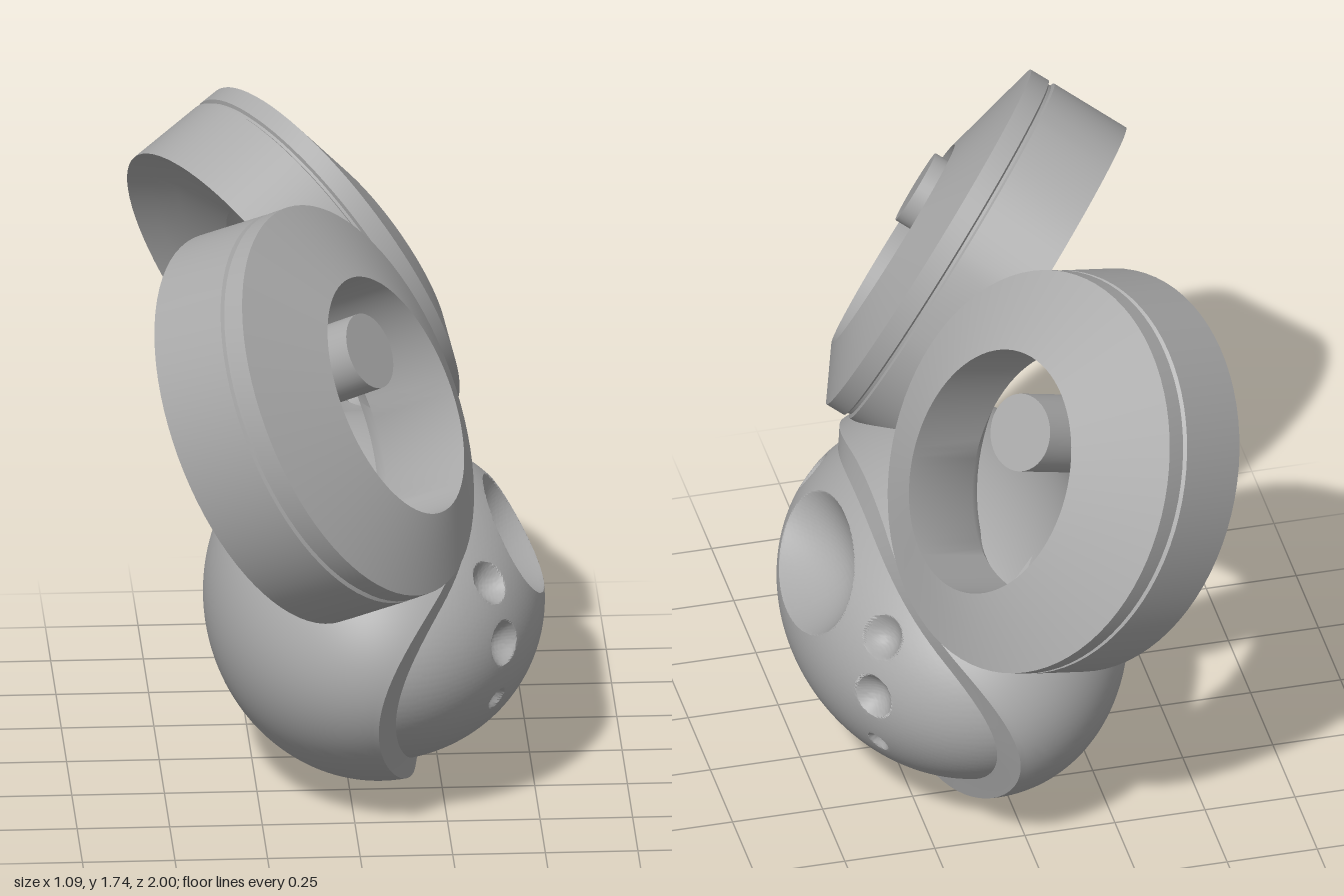
import * as THREE from 'three';
import { toCreasedNormals } from 'three/addons/utils/BufferGeometryUtils.js';

const V = (x, y, z) => new THREE.Vector3(x, y, z);
const grey = new THREE.MeshStandardMaterial({ color: 0xaaaaaa });
grey.name = 'grey';
const greyThin = grey.clone();
greyThin.side = THREE.DoubleSide;

// Skin a list of closed loops of points
function loft(loops, flip = false, crease = 0.5) {
  const n = loops[0].length, pos = [], idx = [];
  for (const loop of loops) for (const p of loop) pos.push(p.x, p.y, p.z);
  for (let i = 0; i < loops.length - 1; i++) {
    for (let j = 0; j < n; j++) {
      const k = (j + 1) % n;
      const a = i * n + j, b = i * n + k, c = a + n, d = b + n;
      if (flip) idx.push(a, d, b, a, c, d);
      else idx.push(a, b, d, a, d, c);
    }
  }
  const g = new THREE.BufferGeometry();
  g.setAttribute('position', new THREE.Float32BufferAttribute(pos, 3));
  g.setIndex(idx);
  return toCreasedNormals(g, crease);
}

function mesh(name, geometry, material = grey) {
  const m = new THREE.Mesh(geometry, material);
  m.name = name;
  return m;
}

// Body ellipsoids, with their poles along x
const centre = V(0.08, 0.463, 0);
const outer = V(0.46, 0.463, 0.7);
const inner = V(0.46, 0.41, 0.64);
const onEllipsoid = (r, t, phi) => V(
  centre.x + r.x * Math.cos(t),
  centre.y + r.y * Math.sin(t) * Math.cos(phi),
  r.z * Math.sin(t) * Math.sin(phi));

// Curved front edges of the shell: x as a function of y, levelling off at the top
function edgeX(y, shift, cap) {
  const x = 0.055 + shift + 1.36 * (y - 0.33) ** 2;
  const blend = Math.max(0.1 - Math.abs(x - cap), 0);
  return Math.min(x, cap) - blend * blend * 2.5;
}
const outerEdge = y => edgeX(y, 0, 0.31);
const innerEdge = y => edgeX(y, 0.05, 0.335);

function edgeAngle(r, edge, phi) {
  let lo = 0, hi = Math.PI;
  for (let i = 0; i < 26; i++) {
    const t = (lo + hi) / 2, p = onEllipsoid(r, t, phi);
    if (p.x > edge(p.y)) lo = t; else hi = t;
  }
  return lo;
}

function loop(n, fn) {
  return Array.from({ length: n }, (_, j) => fn(j / n * Math.PI * 2));
}

function shellGeometry() {
  const loops = [], steps = 40, n = 96;
  for (let i = 0; i <= steps; i++) {
    loops.push(loop(n, phi => onEllipsoid(outer,
      THREE.MathUtils.lerp(Math.PI, edgeAngle(outer, outerEdge, phi), i / steps), phi)));
  }
  loops.push(loop(n, phi => onEllipsoid(inner, edgeAngle(inner, innerEdge, phi), phi)));
  return loft(loops);
}

// A hollow scooped out of the dome: half width w along z, half height h
function hollow(c, normal, w, h, depth) {
  const n = normal.clone().normalize();
  const side = V(0, 0, 1).addScaledVector(n, -n.z).normalize();
  const up = n.clone().cross(side);
  return p => {
    const d = p.clone().sub(c), a = d.dot(n);
    if (a < -0.15) return;
    const bowl = depth * ((d.dot(side) / w) ** 2 + (d.dot(up) / h) ** 2 - 1);
    if (a > bowl) p.addScaledVector(n, bowl - a);
  };
}

function domeGeometry() {
  const cuts = [hollow(V(0.46, 0.64, 0), V(0.876, 0.483, 0), 0.275, 0.167, 0.11)];
  for (const s of [1, -1]) {
    for (const [y, z, r] of [[0.65, 0.4, 0.064], [0.49, 0.445, 0.066], [0.32, 0.42, 0.034]]) {
      const dy = (y - centre.y) / inner.y, dz = z / inner.z;
      const dx = Math.sqrt(1 - dy * dy - dz * dz);
      const c = V(centre.x + inner.x * dx, y, s * z);
      cuts.push(hollow(c, V(dx / inner.x, dy / inner.y, s * dz / inner.z), r, r, r * 0.7));
    }
  }
  const loops = [], steps = 135, n = 360;
  for (let i = 0; i <= steps; i++) {
    loops.push(loop(n, phi => {
      const t = (edgeAngle(inner, innerEdge, phi) + 0.02) * (1 - i / steps);
      const p = onEllipsoid(inner, t, phi);
      for (const cut of cuts) cut(p);
      return p;
    }));
  }
  return loft(loops, false, 0.45);
}

// Frame of a tilted ring: n faces out, u lies sideways, v points up
const yaw = Math.PI / 6, pitch = 0.471;
const n = V(Math.cos(pitch) * Math.cos(yaw), Math.sin(pitch), Math.cos(pitch) * Math.sin(yaw));
const u = V(-Math.sin(yaw), 0, Math.cos(yaw));
const v = V(-Math.sin(pitch) * Math.cos(yaw), Math.cos(pitch), -Math.sin(pitch) * Math.sin(yaw));
const rimCentre = V(0.005, 1.247, 0.563);
const backCentre = V(0, 1.247, 0.55);
const boreCentre = V(0.108, 1.253, 0.546);

// Point on an ellipse across the ring; s = 1 or -1 picks the side
function ringPoint(c, back, ru, rv, a, s) {
  const p = c.clone().addScaledVector(n, -back)
    .addScaledVector(u, ru * Math.cos(a)).addScaledVector(v, rv * Math.sin(a));
  p.z = s * Math.max(0, p.z);
  return p;
}

function ring(s) {
  const g = new THREE.Group();
  g.name = s > 0 ? 'leftRing' : 'rightRing';

  // Sloped face, wall with a fine groove, dished back and straight bore
  const R = [0.482, 0.556], B = [0.272, 0.34], depth = 0.265;
  const sections = [
    [boreCentre, 0, ...B],
    [rimCentre, 0, ...R],
    [rimCentre, 0.055, ...R],
    [rimCentre, 0.06, R[0] - 0.01, R[1] - 0.01],
    [rimCentre, 0.068, R[0] - 0.01, R[1] - 0.01],
    [rimCentre, 0.073, ...R],
    [backCentre, 0.29, ...R],
    [backCentre, 0.25, 0.425, 0.495],
    [backCentre, 0.22, 0.355, 0.425],
    [boreCentre, depth, ...B],
    [boreCentre, 0, ...B],
  ];
  const loops = sections.map(q => loop(80, a => ringPoint(...q, a, s)));
  g.add(mesh('ringBody', loft(loops, s < 0)));

  // Peg standing inside the bore
  const axis = V(n.x, n.y, s * n.z);
  const peg = mesh('peg', new THREE.CylinderGeometry(0.105, 0.105, 0.26, 40));
  peg.quaternion.setFromUnitVectors(V(0, 1, 0), axis);
  peg.position.set(0.035, 1.4, s * 0.59).addScaledVector(axis, -0.13);
  g.add(peg);

  // Thin spikes along the back edge of the bore
  const pts = [];
  for (let i = 0; i < 8; i++) {
    const a = -1.6 + i * 0.3, k = i % 2 ? 0.82 : 0.7;
    pts.push(
      ringPoint(boreCentre, depth, B[0], B[1], a, s),
      ringPoint(boreCentre, depth, B[0], B[1], a + 0.13, s),
      ringPoint(boreCentre, depth + 0.02, B[0] * k, B[1] * k, a + 0.1, s));
  }
  const spikes = new THREE.BufferGeometry().setFromPoints(pts);
  spikes.computeVertexNormals();
  g.add(mesh('spikes', spikes, greyThin));
  return g;
}

export function createModel() {
  const model = new THREE.Group();
  model.name = 'ringedPod';
  model.add(mesh('shell', shellGeometry()), mesh('dome', domeGeometry()), ring(1), ring(-1));
  return model;
}
